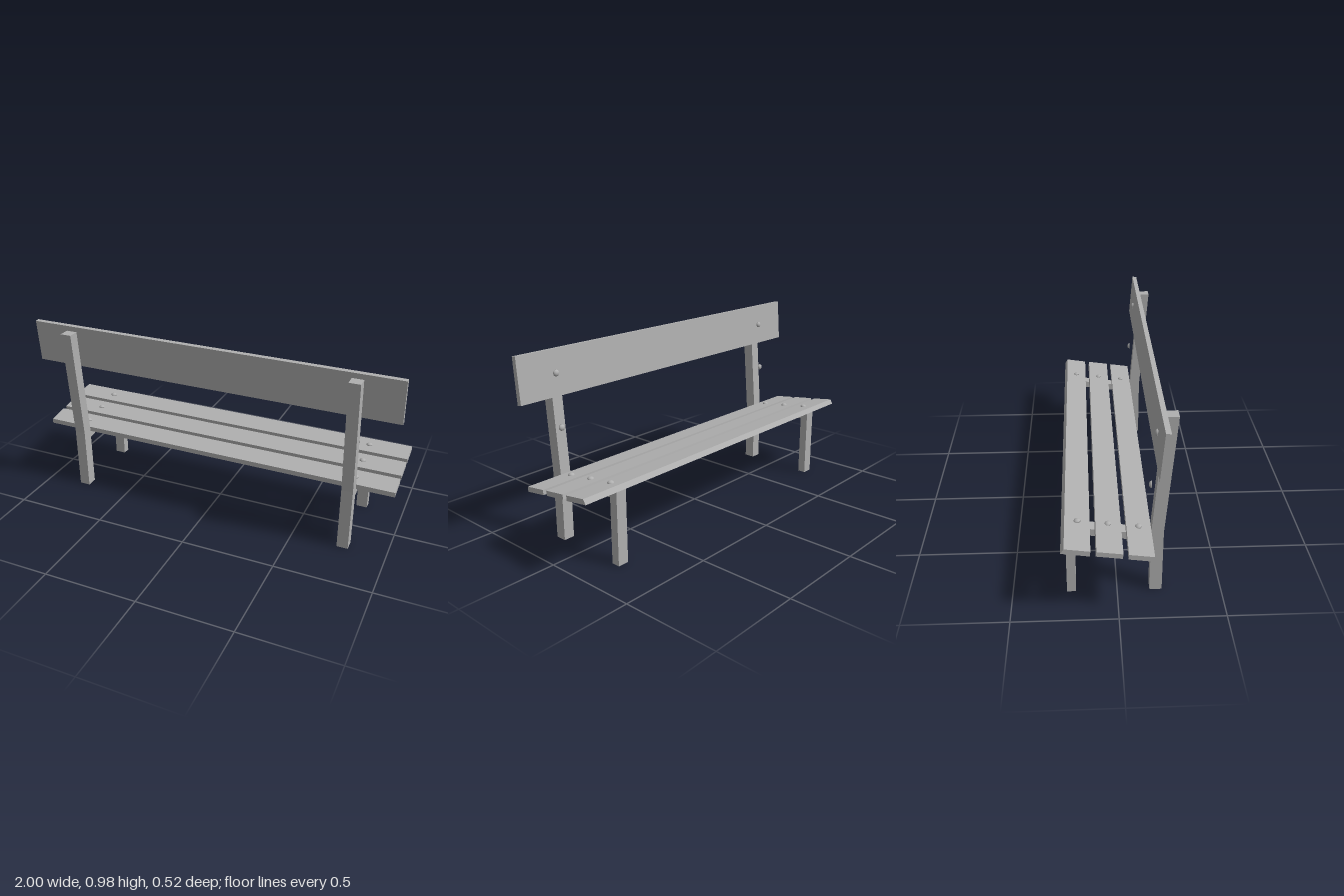
import * as THREE from 'three';

const paint = new THREE.MeshStandardMaterial({ color: 0xb0b0b0 });
paint.name = 'greyPaint';

// Side profile given as [z, y] points, extruded along x and centred on x = 0
function profile(name, points, width) {
  const shape = new THREE.Shape(points.map(([z, y]) => new THREE.Vector2(z, y)));
  const geo = new THREE.ExtrudeGeometry(shape, { depth: width, bevelEnabled: false });
  geo.translate(0, 0, -width / 2).rotateY(-Math.PI / 2);
  const mesh = new THREE.Mesh(geo, paint);
  mesh.name = name;
  return mesh;
}

// Domed bolt head with a closed flat base, pointing along +y
const domePoints = [new THREE.Vector2(0, 0)];
for (let i = 0; i <= 6; i++) {
  const a = (i / 6) * Math.PI / 2;
  domePoints.push(new THREE.Vector2(0.0165 * Math.cos(a), 0.0125 * Math.sin(a)));
}
const domeGeo = new THREE.LatheGeometry(domePoints, 20);

function bolt(name, x, y, z, tilt) {
  const mesh = new THREE.Mesh(domeGeo, paint);
  mesh.name = name;
  mesh.position.set(x, y, z);
  mesh.rotation.x = tilt;
  return mesh;
}

export function createModel() {
  const bench = new THREE.Group();
  bench.name = 'bench';

  // Seat slats, rising towards the sitting edge
  bench.add(
    profile('rearSlat', [[0.156, 0.329], [0.039, 0.346], [0.041, 0.371], [0.156, 0.355]], 2),
    profile('middleSlat', [[0.014, 0.35], [-0.105, 0.367], [-0.101, 0.391], [0.017, 0.375]], 2),
    profile('frontSlat', [[-0.13, 0.368], [-0.259, 0.387], [-0.243, 0.411], [-0.127, 0.394]], 2),
  );

  // Leaning backrest board
  bench.add(profile('backrest', [[0.188, 0.745], [0.163, 0.748], [0.181, 0.975], [0.205, 0.973]], 2));

  for (const side of [-1, 1]) {
    const support = new THREE.Group();
    support.name = side > 0 ? 'leftSupport' : 'rightSupport';

    // Bent rear post, sloping seat rail and front leg
    const post = profile('rearPost', [
      [0.156, 0], [0.215, 0], [0.215, 0.342], [0.262, 0.945], [0.203, 0.945], [0.156, 0.345],
    ], 0.059);
    const rail = profile('seatRailAndFrontLeg', [
      [0.156, 0.29], [0.156, 0.329], [-0.241, 0.384], [-0.241, 0], [-0.197, 0], [-0.197, 0.341],
    ], 0.059);
    post.position.x = rail.position.x = side * 0.775;
    support.add(post, rail);

    // Bolt heads on the slats and the back
    const x = side * 0.786;
    for (const [z, y] of [[0.098, 0.362], [-0.044, 0.382], [-0.185, 0.402]]) {
      support.add(bolt('seatBolt', x, y, z, -0.14));
    }
    support.add(bolt('backrestBolt', x, 0.86, 0.172, -Math.PI / 2 + 0.08));
    support.add(bolt('lowerBackBolt', x, 0.594, 0.153, -Math.PI / 2 + 0.08));
    bench.add(support);
  }
  return bench;
}
